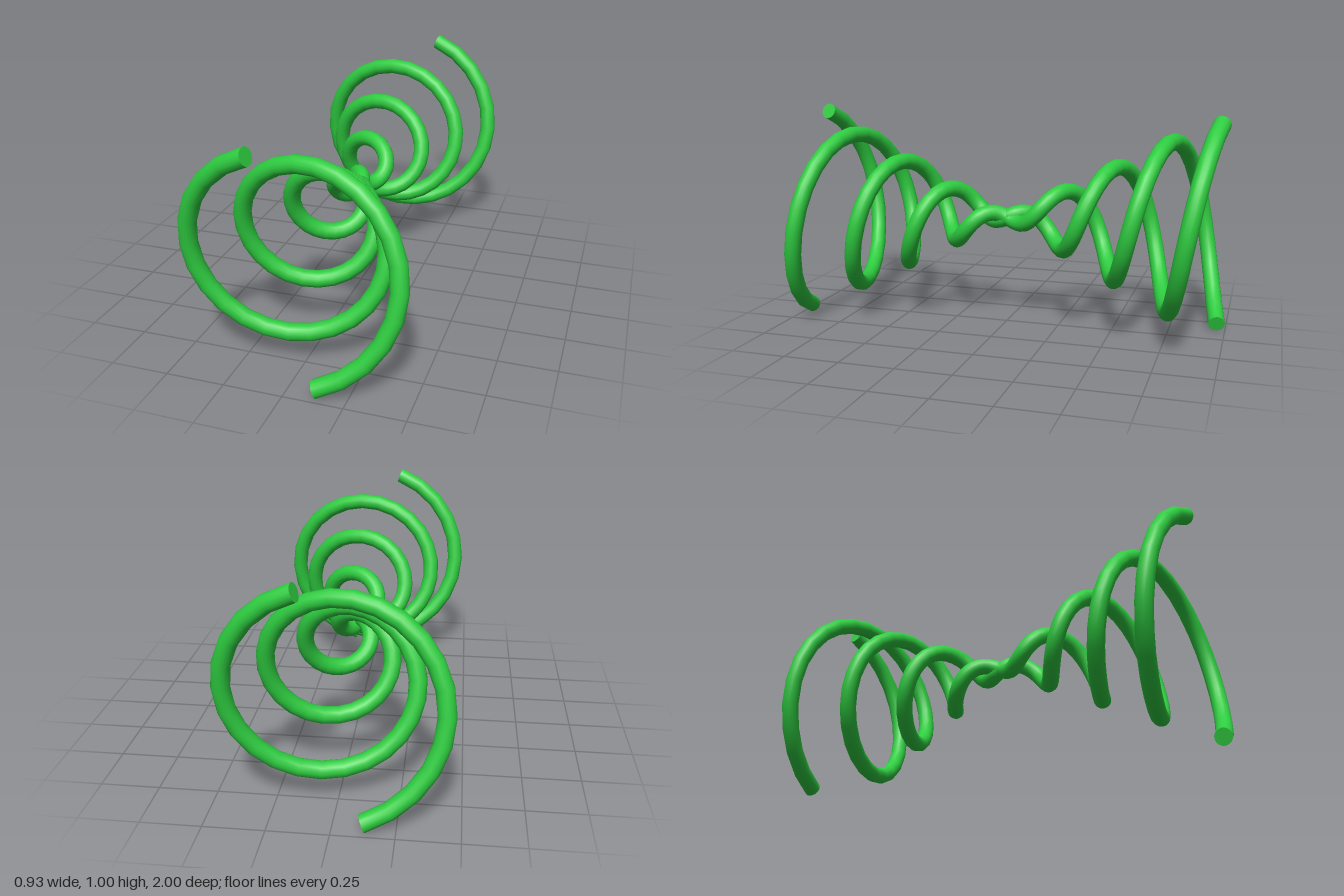
import * as THREE from 'three';

const HALF = 0.963;     // half length of the axis
const SLOPE = 0.4975;   // radius gained per unit along the axis
const TWIST = 12.79;    // radians per unit along the axis
const TUBE = 0.0375;
const CENTRE_Y = 0.503;

// Conical spiral that shrinks to the centre and opens again on the other side
class ConeSpiral extends THREE.Curve {
  constructor(sign) {
    super();
    this.sign = sign;
  }
  getPoint(t, target = new THREE.Vector3()) {
    const z = (2 * t - 1) * HALF;
    const r = this.sign * SLOPE * z;
    return target.set(r * Math.sin(TWIST * z), r * Math.cos(TWIST * z), z);
  }
  // Even steps of angle instead of even steps of length
  getUtoTmapping(u) {
    return u;
  }
}

function makeStrand(sign, material) {
  const strand = new THREE.Group();
  const curve = new ConeSpiral(sign);
  const tube = new THREE.Mesh(new THREE.TubeGeometry(curve, 100, TUBE, 16, false), material);
  tube.name = 'spiralTube';
  strand.add(tube);

  // Flat discs closing both ends
  for (const t of [0, 1]) {
    const cap = new THREE.Mesh(new THREE.CircleGeometry(TUBE, 16), material);
    const outward = curve.getTangent(t).multiplyScalar(t ? 1 : -1);
    cap.position.copy(curve.getPoint(t));
    cap.quaternion.setFromUnitVectors(new THREE.Vector3(0, 0, 1), outward);
    cap.name = t ? 'frontEndCap' : 'backEndCap';
    strand.add(cap);
  }
  return strand;
}

export function createModel() {
  const model = new THREE.Group();
  model.name = 'doubleConeSpiral';
  const green = new THREE.MeshStandardMaterial({ color: 0x2ecc40 });

  // Two strands, half a turn apart
  for (const sign of [1, -1]) {
    const strand = makeStrand(sign, green);
    strand.name = sign > 0 ? 'firstStrand' : 'secondStrand';
    strand.position.y = CENTRE_Y;
    model.add(strand);
  }
  return model;
}
